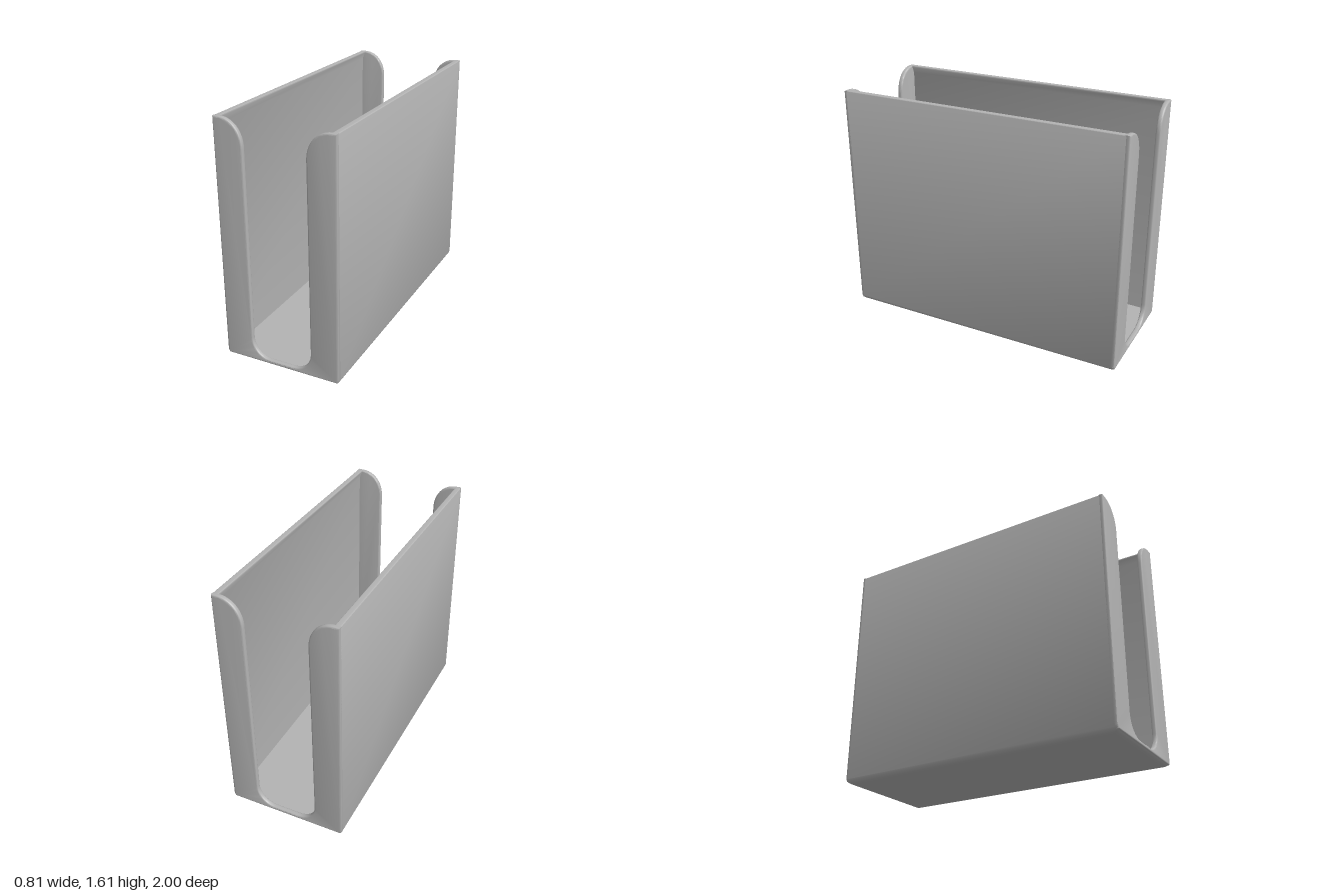
import * as THREE from 'three';
import { toCreasedNormals } from 'three/addons/utils/BufferGeometryUtils.js';

const W = 0.403, H = 1.61, D = 1;      // half width, height, half depth
const LIP = 0.366, INNER = 0.383;      // inner faces of lip and side wall
const END = 0.035;                     // end panel thickness

// Points of a rounded rectangle in the xz plane
function ring(a, b, r, y) {
  const pts = [];
  [[1, 1], [-1, 1], [-1, -1], [1, -1]].forEach(([sx, sz], q) => {
    for (let i = 0; i <= 4; i++) {
      const t = (q + i / 4) * Math.PI / 2;
      pts.push([sx * (a - r) + r * Math.cos(t), y, sz * (b - r) + r * Math.sin(t)]);
    }
  });
  return pts;
}

// Base slab: stacked rings with a rounded underside, closed above and below
function baseGeometry() {
  const R = 0.04, top = 0.034, rings = [];
  for (let i = 0; i <= 6; i++) {
    const y = top * i / 6;
    const inset = R - Math.sqrt(R * R - (R - y) * (R - y));
    rings.push(ring(W - inset, D - inset, 0.012, y));
  }
  const n = rings[0].length, pos = rings.flat(2), idx = [];
  for (let k = 0; k < rings.length - 1; k++) {
    for (let i = 0; i < n; i++) {
      const a = k * n + i, b = k * n + (i + 1) % n;
      idx.push(a, a + n, b, b, a + n, b + n);
    }
  }
  const t = (rings.length - 1) * n;
  for (let i = 1; i < n - 1; i++) {
    idx.push(0, i, i + 1);
    idx.push(t, t + i + 1, t + i);
  }
  const g = new THREE.BufferGeometry();
  g.setAttribute('position', new THREE.Float32BufferAttribute(pos, 3));
  g.setIndex(idx);
  return toCreasedNormals(g, 0.6);
}

// End panel: U outline with flared top and rounded lower corners
function endGeometry() {
  const s = new THREE.Shape();
  s.moveTo(-W + 0.009, 0.015);
  s.lineTo(W - 0.009, 0.015);
  s.lineTo(W, 0.038);
  s.lineTo(W, H);
  s.lineTo(LIP, H);
  s.bezierCurveTo(0.28, H, 0.21, 1.54, 0.21, 1.43);
  s.lineTo(0.21, 0.175);
  s.bezierCurveTo(0.21, 0.1, 0.155, 0.04, 0.08, 0.04);
  s.lineTo(-0.08, 0.04);
  s.bezierCurveTo(-0.155, 0.04, -0.21, 0.1, -0.21, 0.175);
  s.lineTo(-0.21, 1.43);
  s.bezierCurveTo(-0.21, 1.54, -0.28, H, -LIP, H);
  s.lineTo(-W, H);
  s.lineTo(-W, 0.038);
  s.closePath();
  const b = 0.01;
  const g = new THREE.ExtrudeGeometry(s, {
    depth: END - 2 * b, curveSegments: 16,
    bevelEnabled: true, bevelThickness: b, bevelSize: b, bevelOffset: -b, bevelSegments: 3,
  });
  g.translate(0, 0, b);
  return toCreasedNormals(g, 0.6);
}

// Side wall: thin section with an overhanging lip along its top edge
function wallGeometry() {
  const s = new THREE.Shape();
  s.moveTo(INNER, 0.02);
  s.lineTo(W - 0.006, 0.02);
  s.lineTo(W, 0.034);
  s.lineTo(W, H - 0.008);
  s.quadraticCurveTo(W, H, W - 0.008, H);
  s.lineTo(LIP + 0.004, H);
  s.quadraticCurveTo(LIP, H, LIP, H - 0.004);
  s.lineTo(LIP, H - 0.012);
  s.lineTo(INNER, H - 0.055);
  s.closePath();
  const half = D - 0.02;
  const g = new THREE.ExtrudeGeometry(s, { depth: 2 * half, bevelEnabled: false, curveSegments: 5 });
  g.translate(0, 0, -half);
  return toCreasedNormals(g, 0.6);
}

export function createModel() {
  const model = new THREE.Group();
  model.name = 'openEndedHolder';
  const grey = new THREE.MeshStandardMaterial({ color: 0xb3b3b3 });
  grey.name = 'grey';

  const add = (geometry, name, turn = 0, z = 0) => {
    const mesh = new THREE.Mesh(geometry, grey);
    mesh.name = name;
    mesh.rotation.y = turn;
    mesh.position.z = z;
    model.add(mesh);
  };

  add(baseGeometry(), 'base');
  const wall = wallGeometry();
  add(wall, 'leftWall');
  add(wall, 'rightWall', Math.PI);
  const end = endGeometry();
  add(end, 'frontPanel', 0, D - END);
  add(end, 'backPanel', Math.PI, -(D - END));
  return model;
}
